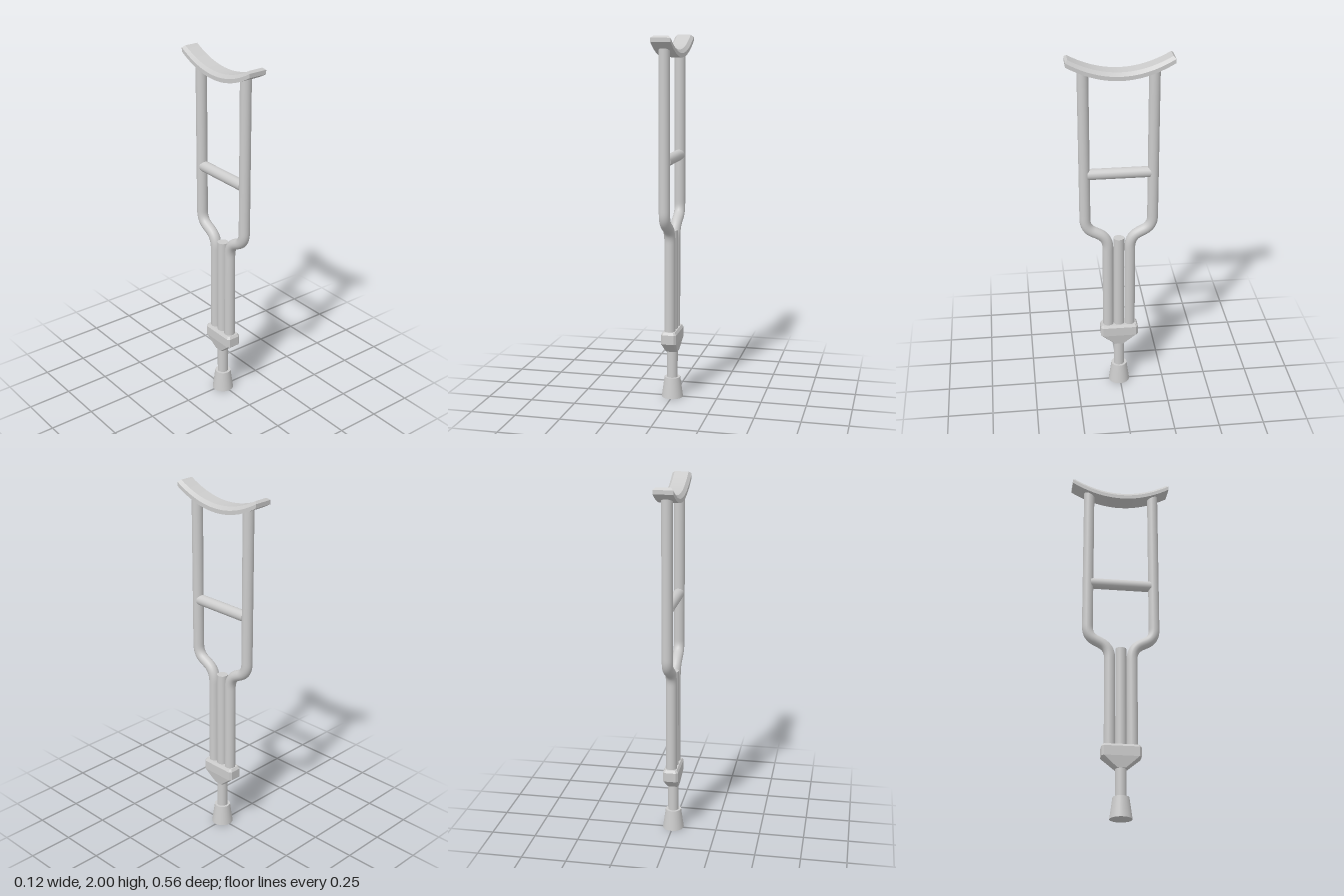
import * as THREE from 'three';
import { toCreasedNormals } from 'three/addons/utils/BufferGeometryUtils.js';
import { ConvexGeometry } from 'three/addons/geometries/ConvexGeometry.js';

const material = new THREE.MeshStandardMaterial({ color: 0xcccccc });
const TUBE = 0.03;

function addMesh(parent, name, geometry, y = 0) {
  const mesh = new THREE.Mesh(geometry, material);
  mesh.name = name;
  mesh.position.y = y;
  parent.add(mesh);
  return mesh;
}

// Bent side tube: straight upright, S-bend inwards, straight lower run
function sideTubeGeometry(side) {
  const p = (z, y) => new THREE.Vector3(0, y, z * side);
  const path = new THREE.CurvePath();
  path.add(new THREE.LineCurve3(p(0.185, 1.95), p(0.185, 1.075)));
  path.add(new THREE.QuadraticBezierCurve3(p(0.185, 1.075), p(0.185, 1.015), p(0.135, 0.993)));
  path.add(new THREE.LineCurve3(p(0.135, 0.993), p(0.11, 0.98)));
  path.add(new THREE.QuadraticBezierCurve3(p(0.11, 0.98), p(0.061, 0.955), p(0.061, 0.89)));
  path.add(new THREE.LineCurve3(p(0.061, 0.89), p(0.061, 0.36)));
  return new THREE.TubeGeometry(path, 110, TUBE, 20, false);
}

// Curved underarm pad with bevelled top edges
function padGeometry() {
  const geometry = new THREE.BoxGeometry(0.106, 2, 0.56, 1, 2, 20);
  const pos = geometry.attributes.position;
  const heights = [0, 0.022, 0.041];
  for (let i = 0; i < pos.count; i++) {
    const level = Math.round(pos.getY(i)) + 1;
    const x = pos.getX(i) * (level === 2 ? 0.72 : 1);
    const z = pos.getZ(i) * (level === 2 ? 0.954 : 1);
    pos.setXYZ(i, x, 1.885 + heights[level] + 0.083 * (z / 0.28) ** 2, z);
  }
  return toCreasedNormals(geometry, 0.4);
}

// Clamp: chamfered rectangles stacked into one convex block
function clampGeometry() {
  const levels = [ // y, half width x, half depth z, corner chamfer
    [0.265, 0.033, 0.03, 0.008],
    [0.328, 0.043, 0.106, 0.012],
    [0.38, 0.043, 0.106, 0.012],
    [0.394, 0.034, 0.096, 0.008],
  ];
  const points = [];
  for (const [y, hx, hz, c] of levels)
    for (const sx of [-1, 1])
      for (const sz of [-1, 1])
        points.push(
          new THREE.Vector3(sx * hx, y, sz * (hz - c)),
          new THREE.Vector3(sx * (hx - c), y, sz * hz));
  return new ConvexGeometry(points);
}

export function createModel() {
  const model = new THREE.Group();
  model.name = 'crutch';

  addMesh(model, 'underarmPad', padGeometry());

  // Frame and leg
  const frame = new THREE.Group();
  frame.name = 'frame';
  frame.position.set(-0.002, 0, 0.005);
  model.add(frame);

  addMesh(frame, 'frontTube', sideTubeGeometry(1));
  addMesh(frame, 'backTube', sideTubeGeometry(-1));

  const grip = new THREE.CylinderGeometry(TUBE, TUBE, 0.34, 20);
  addMesh(frame, 'handGrip', grip.rotateX(Math.PI / 2), 1.345);

  addMesh(frame, 'clamp', clampGeometry());
  addMesh(frame, 'centreShaft', new THREE.CylinderGeometry(TUBE, TUBE, 0.87, 20), 0.515);
  addMesh(frame, 'footTip', new THREE.CylinderGeometry(0.044, 0.06, 0.115, 24), 0.0575);

  return model;
}
